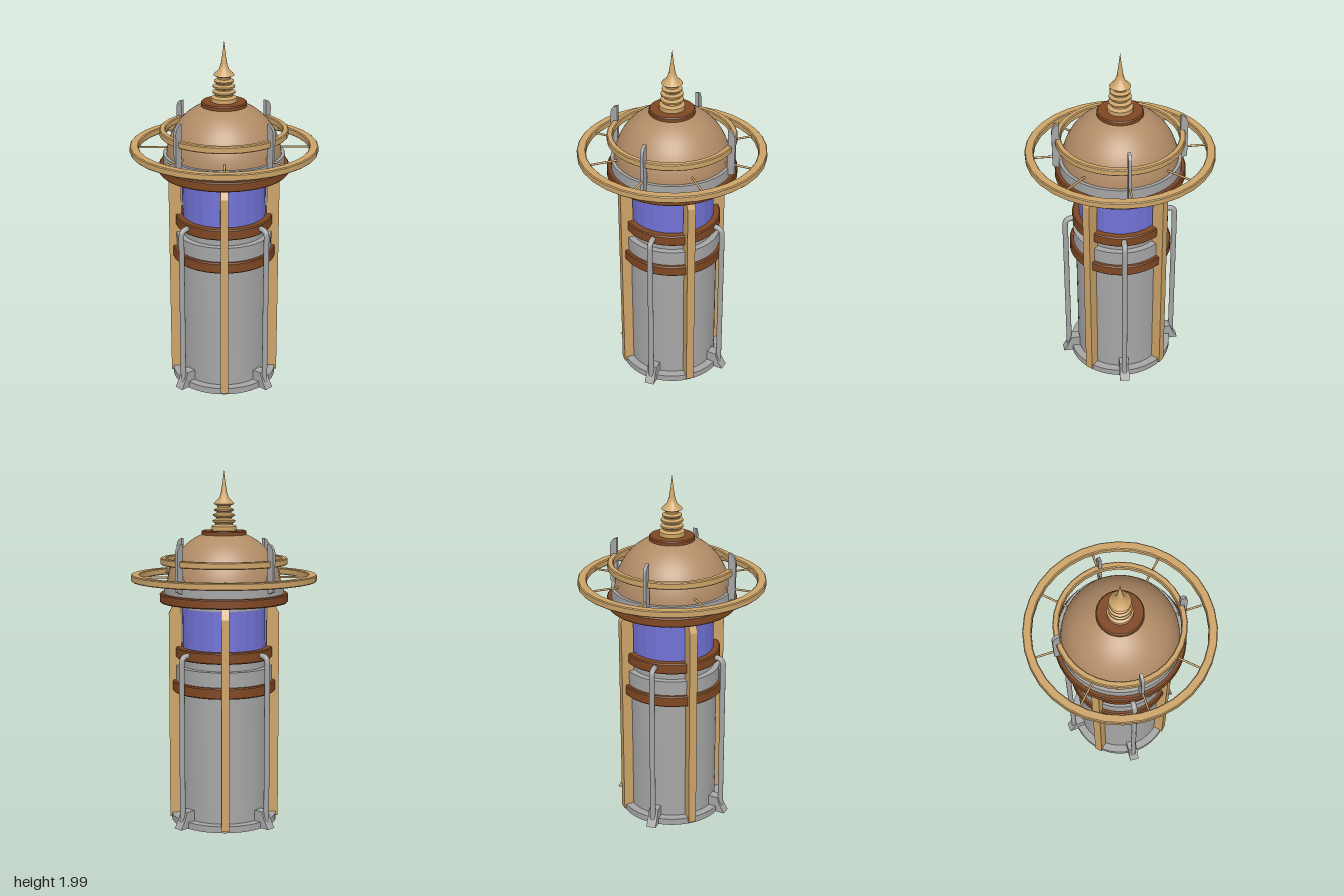
import * as THREE from 'three';
import { toCreasedNormals } from 'three/addons/utils/BufferGeometryUtils.js';

const material = (name, color) => {
  const m = new THREE.MeshStandardMaterial({ color });
  m.name = name;
  return m;
};

export function createModel() {
  const steel = material('grey steel', 0xa6a6a6);
  const copper = material('brown copper', 0x7f4722);
  const brass = material('brass', 0xcda468);
  const bronze = material('dome bronze', 0xb28c67);
  const glass = material('blue glass', 0x7272d6);

  const model = new THREE.Group();
  model.name = 'lanternTower';

  const add = (name, geometry, mat, parent = model) => {
    const mesh = new THREE.Mesh(geometry, mat);
    mesh.name = name;
    parent.add(mesh);
    return mesh;
  };
  // Turned part from [radius, height] pairs, listed bottom to top
  const turn = (name, profile, mat, sides = 48, phase = 0) => add(name, toCreasedNormals(
    new THREE.LatheGeometry(profile.map(([r, y]) => new THREE.Vector2(r, y)), sides, phase), 0.6), mat);
  const drum = (name, r, y0, y1, mat) => turn(name, [[0, y0], [r, y0], [r, y1], [0, y1]], mat);
  // Drum with softened edges
  const band = (name, r, y0, y1, mat) => {
    const b = 0.006;
    return turn(name, [[0, y0], [r - b, y0], [r, y0 + b], [r, y1 - b], [r - b, y1], [0, y1]], mat);
  };
  // Flat hoop with a bevelled rectangular section
  const hoop = (name, r0, r1, y0, y1, sides) => {
    const b = 0.005;
    return turn(name, [
      [r0, y0 + b], [r0 + b, y0], [r1 - b, y0], [r1, y0 + b],
      [r1, y1 - b], [r1 - b, y1], [r0 + b, y1], [r0, y1 - b], [r0, y0 + b],
    ], brass, sides, Math.PI / sides);
  };
  // Plate cut from a radial profile, standing outwards along +z
  const radialPlate = (points, width) => {
    const shape = new THREE.Shape(points.map(([r, y]) => new THREE.Vector2(r, y)));
    const g = new THREE.ExtrudeGeometry(shape, { depth: width, bevelEnabled: false });
    return g.translate(0, 0, -width / 2).rotateY(-Math.PI / 2);
  };

  // Body and collars
  drum('basePlate', 0.3, 0.008, 0.045, steel);
  drum('body', 0.255, 0.045, 0.77, steel);
  band('lowerBand', 0.29, 0.76, 0.822, copper);
  drum('collar', 0.27, 0.822, 0.905, steel);
  drum('neck', 0.235, 0.905, 0.955, steel);
  band('middleBand', 0.272, 0.95, 1.012, copper);
  drum('windowHeader', 0.236, 1.235, 1.27, steel);
  const windowBand = add('windowBand', toCreasedNormals(
    new THREE.CylinderGeometry(0.235, 0.235, 0.225, 24, 1, true), 0.1), glass);
  windowBand.position.y = 1.1235;
  band('upperBand', 0.36, 1.263, 1.315, copper);
  drum('domeSeat', 0.337, 1.315, 1.372, steel);

  // Dome
  const dome = add('dome', new THREE.SphereGeometry(0.32, 48, 20, 0, Math.PI * 2, 0, Math.PI / 2), bronze);
  dome.position.y = 1.345;
  band('domeCap', 0.126, 1.632, 1.662, copper);

  // Finial
  turn('finial', [
    [0, 1.655], [0.07, 1.655], [0.07, 1.685], [0.05, 1.695], [0.05, 1.702],
    [0.063, 1.71], [0.063, 1.718], [0.045, 1.727], [0.045, 1.734],
    [0.061, 1.742], [0.061, 1.75], [0.042, 1.758], [0.042, 1.764],
    [0.055, 1.772], [0.055, 1.778], [0.036, 1.787], [0.04, 1.8],
    [0.058, 1.808], [0.05, 1.818], [0.028, 1.84], [0.018, 1.87], [0.01, 1.92], [0, 2],
  ], brass, 32);

  // Hoops around the dome
  hoop('outerHoop', 0.472, 0.52, 1.382, 1.42, 32);
  hoop('innerHoop', 0.322, 0.355, 1.474, 1.512, 32);

  // Spokes holding the outer hoop
  for (let i = 0; i < 8; i++) {
    const spoke = new THREE.CylinderGeometry(0.006, 0.006, 0.19, 8);
    spoke.rotateX(Math.PI / 2).translate(0, 1.4, 0.39);
    add('spoke', spoke, brass).rotation.y = i * Math.PI / 4;
  }

  // Upright fins with rounded outer tips, and long ribs between them
  const finProfile = [[0.33, 1.33], [0.371, 1.345], [0.371, 1.555], [0.365, 1.578], [0.352, 1.595], [0.33, 1.604]];
  const ribProfile = [[0.24, 0.02], [0.31, 0.02], [0.31, 1.2], [0.275, 1.264], [0.24, 1.264]];
  for (let i = 0; i < 4; i++) {
    const turnAngle = i * Math.PI / 2;
    add('fin', radialPlate(finProfile, 0.018), steel).rotation.y = turnAngle;
    add('rib', radialPlate(ribProfile, 0.045), brass).rotation.y = turnAngle + Math.PI / 4;
  }

  // Drain pipes, each on a sloped foot
  const path = new THREE.CurvePath();
  const v = (y, z) => new THREE.Vector3(0, y, z);
  path.add(new THREE.LineCurve3(v(0.04, 0.316), v(0.945, 0.316)));
  path.add(new THREE.QuadraticBezierCurve3(v(0.945, 0.316), v(0.985, 0.316), v(0.985, 0.276)));
  path.add(new THREE.LineCurve3(v(0.985, 0.276), v(0.985, 0.25)));
  const footProfile = [[0.25, 0.01], [0.352, 0.01], [0.325, 0.055], [0.306, 0.105], [0.25, 0.105]];
  [-0.06, Math.PI / 2 + 0.04, Math.PI - 0.06, Math.PI * 1.5 + 0.04].forEach((angle) => {
    const pipe = new THREE.Group();
    pipe.name = 'pipeWithFoot';
    pipe.rotation.y = angle;
    add('pipe', new THREE.TubeGeometry(path, 80, 0.0155, 12), steel, pipe);
    add('foot', radialPlate(footProfile, 0.055), steel, pipe);
    model.add(pipe);
  });

  return model;
}
